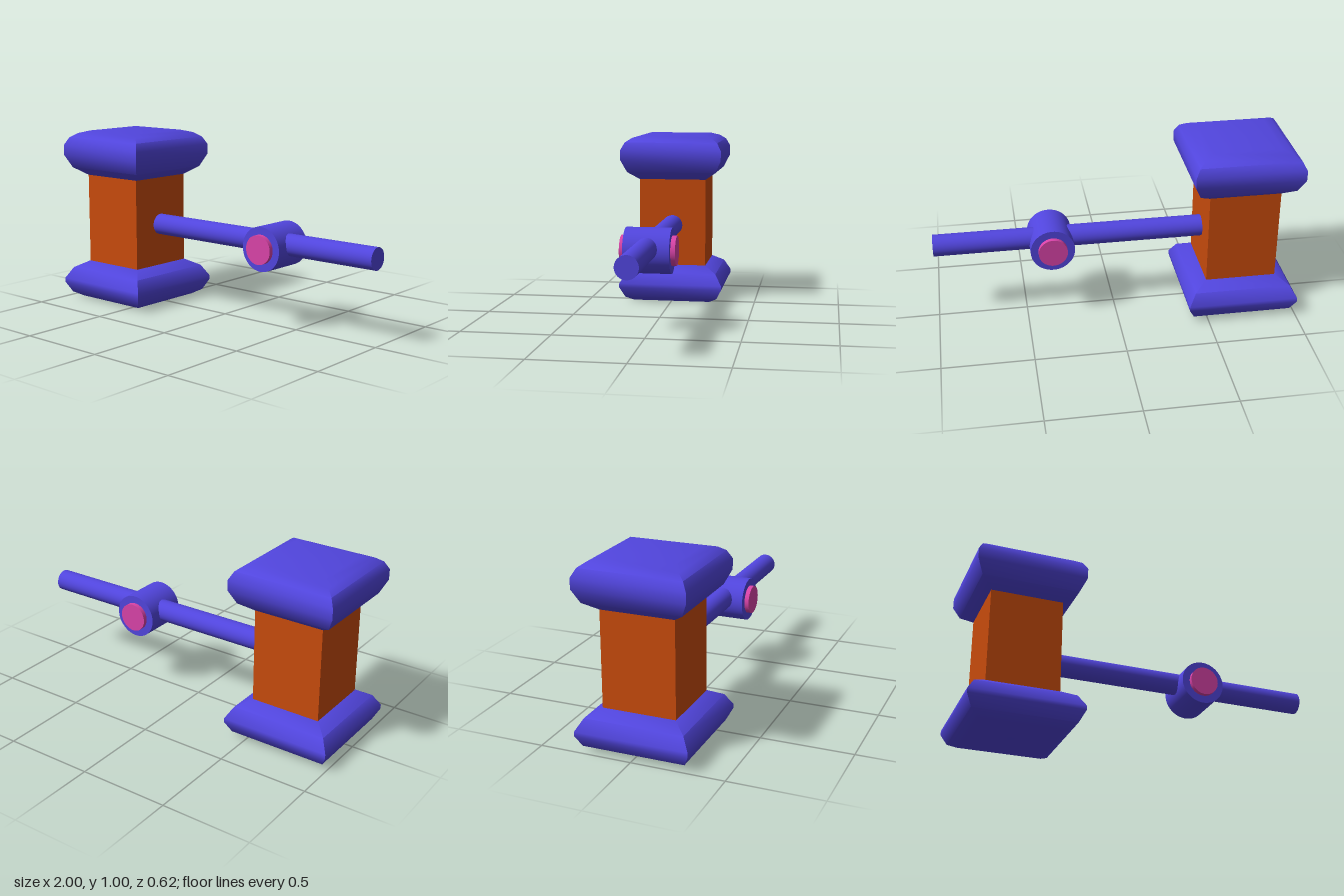
import * as THREE from 'three';
import { toCreasedNormals } from 'three/addons/utils/BufferGeometryUtils.js';

const BLUE = 0x5145dd, ORANGE = 0xc84b0c, PINK = 0xd943a8;
const POST_X = -0.695, HUB_X = 0.352, HUB_Y = 0.44;

export function createModel() {
  const model = new THREE.Group();

  function add(name, geometry, color, x, y, z) {
    const mesh = new THREE.Mesh(geometry, new THREE.MeshStandardMaterial({ color }));
    mesh.name = name;
    mesh.position.set(x, y, z);
    model.add(mesh);
  }

  // Square cushion: a four-sided lathe of [half width, height] points, closed at both ends
  function cushion(profile) {
    const points = profile.map(([w, y]) => new THREE.Vector2(w * Math.SQRT2, y));
    points.unshift(new THREE.Vector2(0, profile[0][1]));
    points.push(new THREE.Vector2(0, profile[profile.length - 1][1]));
    const geometry = new THREE.LatheGeometry(points, 4).rotateY(Math.PI / 4);
    return toCreasedNormals(geometry, THREE.MathUtils.degToRad(50));
  }

  // Post with a bulging square cap and base
  add('post', new THREE.BoxGeometry(0.395, 0.53, 0.4), ORANGE, POST_X, 0.477, 0);
  add('topCap', cushion([
    [0.2, 0.737], [0.265, 0.783], [0.3, 0.857], [0.3, 0.915],
    [0.276, 0.96], [0.24, 0.985], [0.188, 1],
  ]), BLUE, POST_X + 0.002, 0, 0);
  add('base', cushion([
    [0.23, 0], [0.277, 0.027], [0.308, 0.088], [0.308, 0.112],
    [0.27, 0.177], [0.2, 0.217],
  ]), BLUE, POST_X, 0, 0);

  // Arm reaching out sideways from the post
  add('arm', new THREE.CylinderGeometry(0.06, 0.06, 1.5, 48).rotateZ(Math.PI / 2), BLUE, 0.25, 0.46, 0);

  // Hub across the arm, with a pin showing at both ends
  add('hub', new THREE.CylinderGeometry(0.122, 0.122, 0.246, 64).rotateX(Math.PI / 2), BLUE, HUB_X, HUB_Y, 0);
  add('pin', new THREE.CylinderGeometry(0.08, 0.08, 0.296, 48).rotateX(Math.PI / 2), PINK, HUB_X, HUB_Y, 0);

  return model;
}
